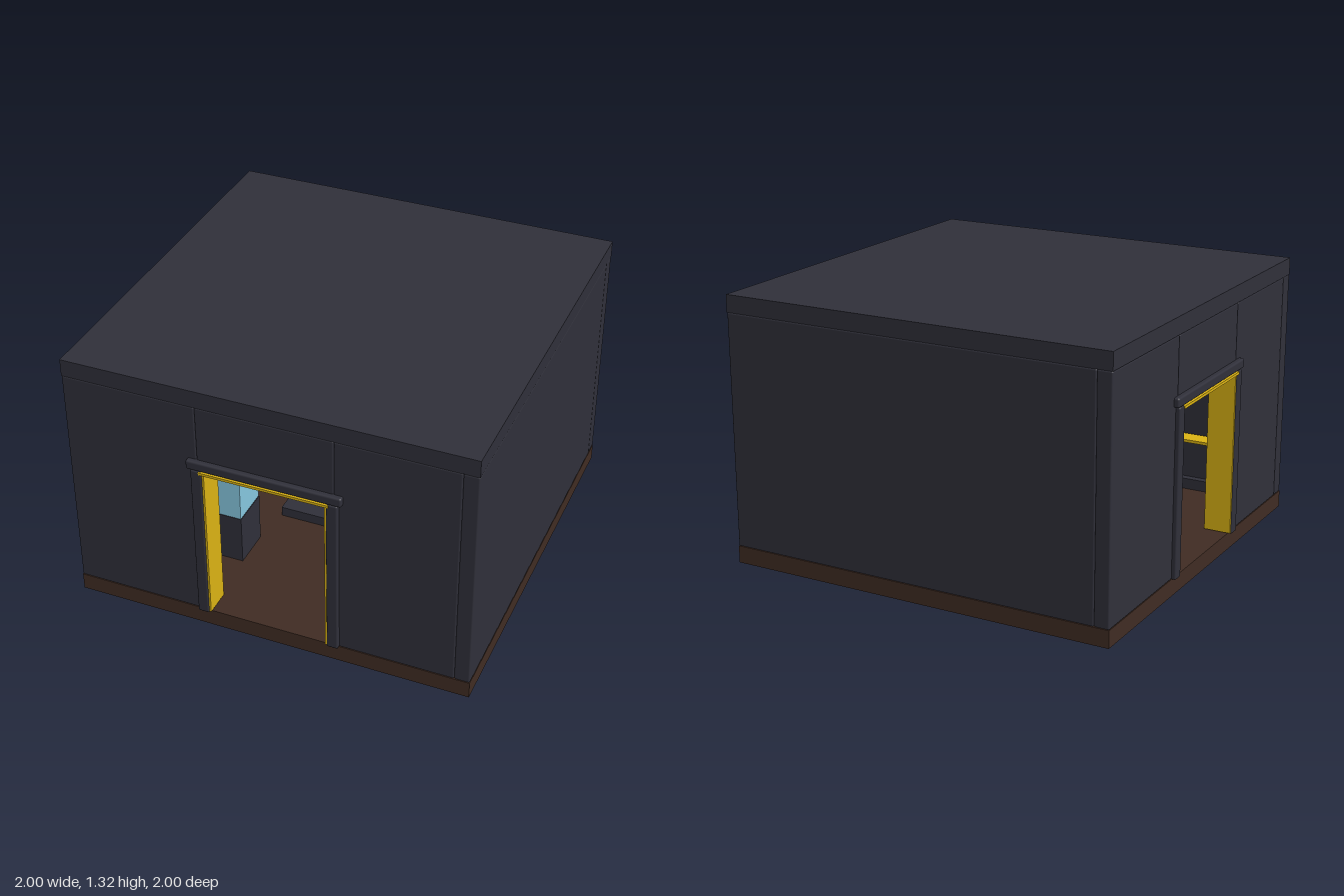
import * as THREE from 'three';
import { RoundedBoxGeometry } from 'three/addons/geometries/RoundedBoxGeometry.js';

const mat = (name, color) => {
  const m = new THREE.MeshStandardMaterial({ color });
  m.name = name;
  return m;
};

export function createModel() {
  const charcoal = mat('charcoal', 0x30303a);
  const brown = mat('darkBrown', 0x402c23);
  const gold = mat('gold', 0xdcb414);
  const glass = mat('paleBlue', 0x87c8e0);

  const model = new THREE.Group();
  model.name = 'showroom';
  const room = new THREE.Group();
  room.name = 'room';
  room.position.set(0.0125, 0, -0.0125);
  model.add(room);

  // Box given by its lower and upper limits, with optional rounded edges
  const box = (parent, name, material, [x0, x1], [y0, y1], [z0, z1], r = 0) => {
    const size = [x1 - x0, y1 - y0, z1 - z0];
    const geo = r ? new RoundedBoxGeometry(...size, 2, r) : new THREE.BoxGeometry(...size);
    const mesh = new THREE.Mesh(geo, material);
    mesh.name = name;
    mesh.position.set((x0 + x1) / 2, (y0 + y1) / 2, (z0 + z1) / 2);
    parent.add(mesh);
    return mesh;
  };

  const H = 0.9875, FLOOR = 0.085, EAVES = 1.235;
  const full = [-H, H];
  box(room, 'foundation', brown, full, [0, FLOOR], full);
  box(room, 'roof', charcoal, full, [EAVES, 1.32], full);

  // Four walls set pinwheel fashion; the front and the right one have a doorway
  const wallZ = [H - 0.075, H];
  const wallY = [FLOOR, EAVES];
  const walls = [
    ['frontWall', 0, true], ['rightWall', -Math.PI / 2, true],
    ['backWall', Math.PI, false], ['leftWall', Math.PI / 2, false],
  ];
  for (const [name, angle, hasDoor] of walls) {
    const wall = new THREE.Group();
    wall.name = name;
    wall.rotation.y = angle;
    room.add(wall);
    if (!hasDoor) {
      box(wall, 'wallPanel', charcoal, [-H, H - 0.075], wallY, wallZ, 0.008);
      continue;
    }
    box(wall, 'wallPanel', charcoal, [-H, -0.33], wallY, wallZ, 0.008);
    box(wall, 'wallPanel', charcoal, [0.33, H - 0.075], wallY, wallZ, 0.008);
    box(wall, 'headerPanel', charcoal, [-0.33, 0.33], [0.905, EAVES], wallZ, 0.008);
    box(wall, 'lintel', charcoal, [-0.375, 0.375], [0.91, 0.957], [H - 0.08, H + 0.025], 0.01);
    // Door posts and the gold lining of the opening
    for (const s of [-1, 1]) {
      const span = (a, b) => (s > 0 ? [a, b] : [-b, -a]);
      box(wall, 'doorPost', charcoal, span(0.3, 0.355), [FLOOR, 0.908], [H - 0.08, H + 0.022], 0.008);
      box(wall, 'doorLining', gold, span(0.291, 0.303), [FLOOR + 0.005, 0.9], [H - 0.12, H + 0.015]);
    }
    box(wall, 'doorHeadLining', gold, [-0.313, 0.313], [0.893, 0.906], [H - 0.12, H + 0.026]);
  }

  // Display pedestals with glass tops
  for (const sx of [-1, 1]) for (const sz of [-1, 1]) {
    const pedestal = new THREE.Group();
    pedestal.name = 'displayPedestal';
    pedestal.position.set(sx * 0.42, 0, sz * 0.5);
    room.add(pedestal);
    box(pedestal, 'pedestalBase', charcoal, [-0.103, 0.103], [FLOOR, 0.34], [-0.103, 0.103]);
    box(pedestal, 'glassCase', glass, [-0.1, 0.1], [0.34, 0.6], [-0.1, 0.1]);
  }

  // Counter on a low platform
  box(room, 'platform', charcoal, [-0.29, 0.29], [FLOOR, 0.135], [-0.45, 0.2]);
  for (const s of [-1, 1])
    box(room, 'counterLeg', charcoal, [s * 0.28 - 0.012, s * 0.28 + 0.012], [0.135, 0.325], [-0.2, -0.02]);
  box(room, 'counterTrim', gold, [-0.305, 0.305], [0.325, 0.334], [-0.23, 0.01]);
  box(room, 'counterTop', glass, [-0.3, 0.3], [0.334, 0.355], [-0.225, 0.005]);
  box(room, 'counterScreen', charcoal, [0.045, 0.245], [0.355, 0.46], [-0.15, -0.13]);

  // Chair behind the counter
  box(room, 'chairSeat', charcoal, [-0.092, 0.085], [0.165, 0.22], [-0.42, -0.27], 0.005);
  box(room, 'chairBack', charcoal, [-0.092, 0.085], [0.225, 0.5], [-0.44, -0.41], 0.005);
  box(room, 'chairStem', charcoal, [-0.02, 0.015], [0.135, 0.17], [-0.36, -0.32]);

  // Side case by the front wall and a panel on the back wall
  box(room, 'sideCaseBase', charcoal, [-0.85, -0.45], [FLOOR, 0.14], [0.78, 0.9]);
  box(room, 'sideCaseBody', charcoal, [-0.83, -0.47], [0.14, 0.33], [0.82, 0.9]);
  box(room, 'sideCaseTrim', gold, [-0.85, -0.45], [0.33, 0.345], [0.8, 0.9]);
  box(room, 'wallScreen', charcoal, [-0.65, -0.275], [0.51, 0.81], [-0.913, -0.89]);

  return model;
}
